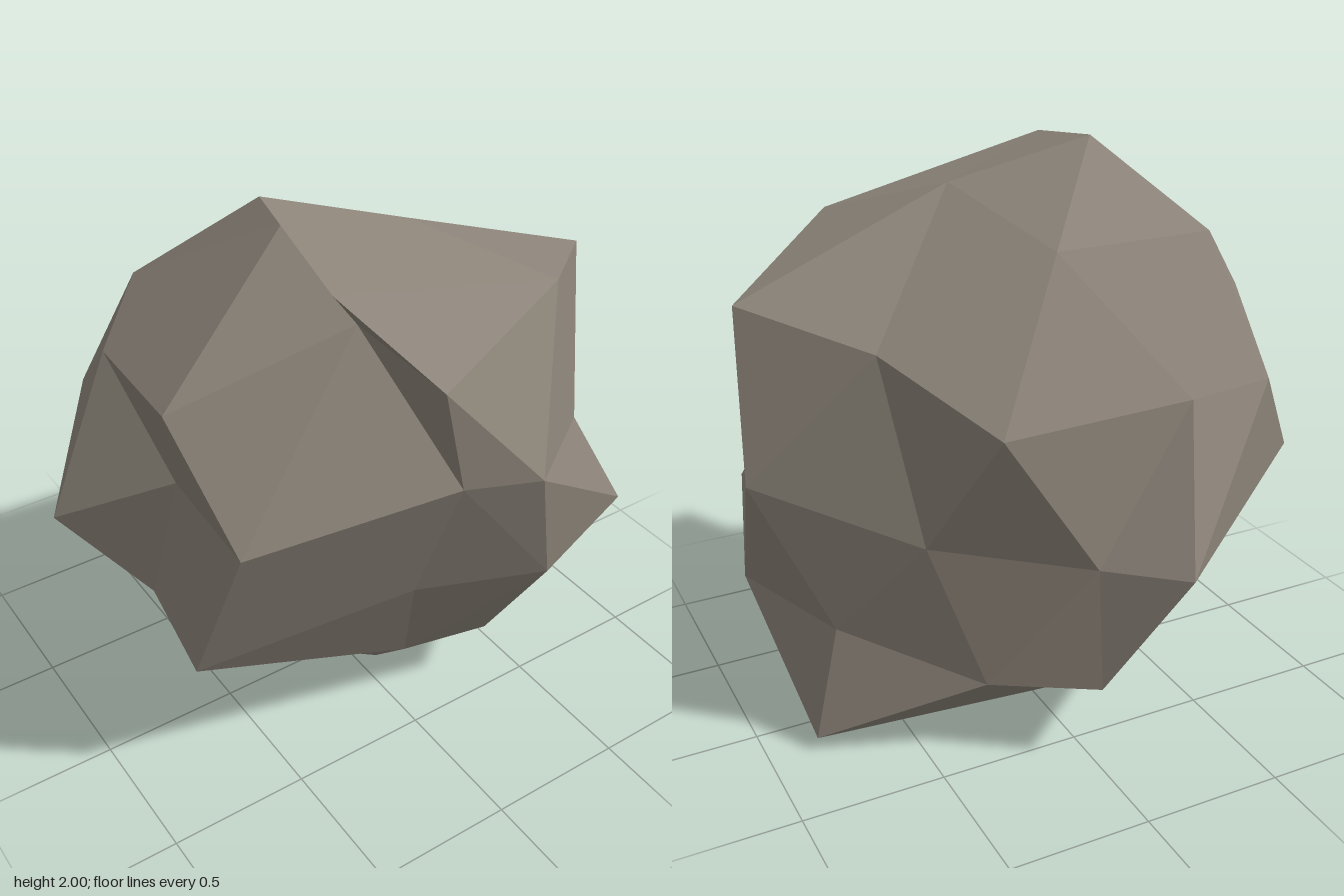
import * as THREE from 'three';

// Cross-sections of the boulder from top to bottom, each going round
// counter-clockwise seen from above, starting on the +x side.
const peak = [-0.30, 2.0, 0.01];
const crown = [
  [0.16, 1.86, 0.15], [0.01, 1.73, -0.345], [-0.605, 1.705, -0.275],
  [-0.29, 1.96, 0.125], [-0.37, 1.915, 0.515],
];
const shoulder = [
  [0.925, 1.55, 0.125], [0.585, 1.45, -0.245], [0.33, 1.255, -0.62], [-0.355, 1.26, -0.60],
  [-0.73, 1.23, -0.495], [-0.755, 1.485, -0.235], [-0.81, 1.545, 0.28], [-0.27, 1.78, 0.49],
  [-0.165, 1.66, 0.785], [0.465, 1.72, 0.53],
];
const waist = [
  [0.61, 1.14, 0.525], [0.973, 0.99, -0.04], [0.50, 0.825, -0.40], [0, 0.745, -0.645],
  [-0.235, 0.745, -0.845], [-0.975, 0.86, -0.30], [-0.65, 1.06, 0], [-0.74, 1.17, 0.58],
  [-0.08, 1.285, 0.785], [0.195, 1.24, 0.84],
];
const flank = [
  [0.825, 0.74, 0.58], [0.937, 0.525, 0.215], [0.74, 0.465, -0.17], [0.31, 0.28, -0.445],
  [-0.01, 0.30, -0.67], [-0.25, 0.15, -0.305], [-0.69, 0.48, -0.175], [-0.80, 0.57, 0.35],
  [-0.10, 0.755, 0.59], [0.37, 0.705, 0.72],
];
const underside = [
  [0.333, 0.27, 0.465], [0.83, 0.05, -0.17], [-0.13, 0.03, -0.235],
  [-0.30, 0.10, -0.05], [0.03, 0.25, 0.38],
];
const base = [0.075, 0, 0.14];

function boulderGeometry() {
  const positions = [];
  const tri = (a, b, c) => positions.push(...a, ...b, ...c);
  const at = (ring, i) => ring[i % ring.length];

  // Caps: a point, a ring of five, then a ring of ten
  for (let i = 0; i < 5; i++) {
    const k = 2 * i;
    tri(crown[i], at(crown, i + 1), peak);
    tri(shoulder[k], shoulder[k + 1], crown[i]);
    tri(shoulder[k + 1], at(crown, i + 1), crown[i]);
    tri(shoulder[k + 1], at(shoulder, k + 2), at(crown, i + 1));

    tri(base, at(underside, i + 1), underside[i]);
    tri(underside[i], flank[k + 1], flank[k]);
    tri(underside[i], at(underside, i + 1), flank[k + 1]);
    tri(at(underside, i + 1), at(flank, k + 2), flank[k + 1]);
  }

  // Sides: zigzag bands between the rings of ten
  for (const [low, up] of [[waist, shoulder], [flank, waist]]) {
    for (let k = 0; k < 10; k++) {
      tri(low[k], at(low, k + 1), up[k]);
      tri(at(low, k + 1), at(up, k + 1), up[k]);
    }
  }

  const geometry = new THREE.BufferGeometry();
  geometry.setAttribute('position', new THREE.Float32BufferAttribute(positions, 3));
  geometry.computeVertexNormals(); // unshared corners give flat facets
  return geometry;
}

export function createModel() {
  const stone = new THREE.MeshStandardMaterial({ color: 0x8c8479 });
  stone.name = 'warm grey stone';
  stone.flatShading = true;

  const boulder = new THREE.Mesh(boulderGeometry(), stone);
  boulder.name = 'boulder';

  const group = new THREE.Group();
  group.name = 'rock';
  group.add(boulder);
  return group;
}
